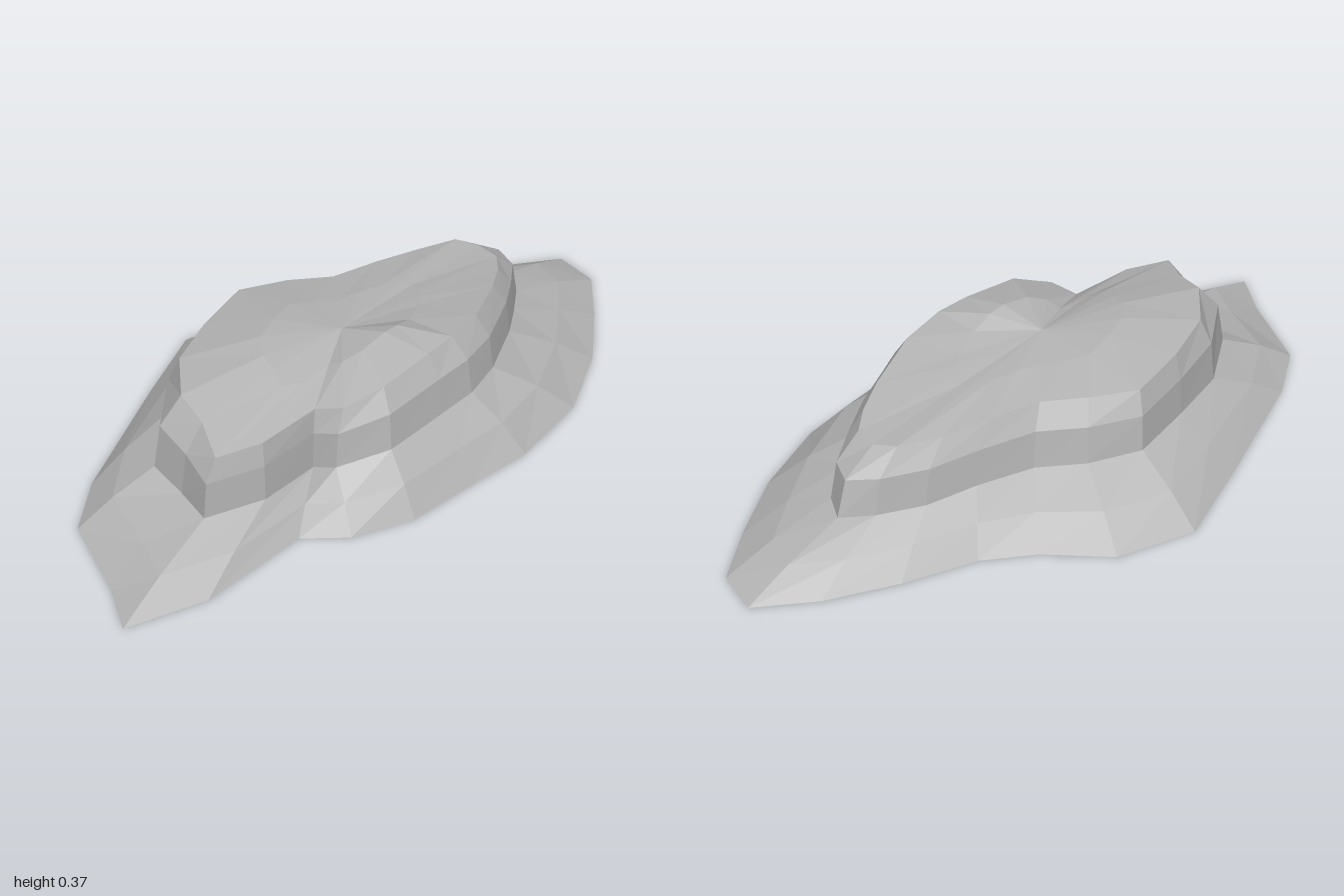
import * as THREE from 'three';

// Matching outlines, counterclockwise seen from above
// shoreline: x, z at ground level
const shore = [
  1, .05, .85, -.06, .66, -.15, .46, -.22, .33, -.31, .19, -.46, -.03, -.53, -.27, -.44,
  -.66, -.28, -.81, -.18, -.92, .05, -1, .17, -.79, .26, -.47, .28, -.38, .38, -.22, .46,
  0, .49, .18, .52, .43, .5, .65, .41, .83, .29, .97, .18,
];
// foot of the cliff: x, y, z
const foot = [
  .69, .11, .06, .62, .12, -.01, .5, .12, -.07, .36, .13, -.11, .2, .13, -.16, .09, .135, -.25,
  -.05, .14, -.315, -.24, .14, -.275, -.43, .13, -.22, -.6, .12, -.1, -.625, .11, .02,
  -.66, .11, .13, -.5, .105, .195, -.32, .1, .2, -.31, .13, .27, -.19, .16, .355,
  0, .17, .37, .12, .175, .378, .25, .17, .35, .44, .145, .265, .55, .125, .2, .65, .11, .135,
];
// shoulder of the cliff: x, y, z
const shoulder = [
  .56, .28, .06, .53, .29, 0, .42, .29, -.05, .29, .3, -.09, .15, .305, -.13, .05, .31, -.21,
  -.07, .31, -.28, -.25, .315, -.24, -.41, .32, -.18, -.52, .32, -.07, -.55, .3, .03,
  -.61, .275, .13, -.49, .275, .18, -.3, .275, .19, -.27, .295, .26, -.17, .33, .31,
  0, .343, .32, .1, .343, .32, .23, .33, .3, .4, .305, .23, .49, .29, .18, .55, .28, .13,
];
// heights of the two humps, halfway in from the shoulder
const humpHeights = [
  .31, .315, .32, .325, .325, .33, .338, .347, .35, .345, .335,
  .32, .31, .315, .335, .355, .368, .362, .34, .325, .32, .315,
];

const toPoints = (list) => {
  const points = [];
  for (let i = 0; i < list.length; i += 3) points.push(new THREE.Vector3(list[i], list[i + 1], list[i + 2]));
  return points;
};

// Ring between two others, with separate blends for plan and height
const between = (a, b, plan, height) => a.map((p, i) => new THREE.Vector3(
  THREE.MathUtils.lerp(p.x, b[i].x, plan),
  THREE.MathUtils.lerp(p.y, b[i].y, height),
  THREE.MathUtils.lerp(p.z, b[i].z, plan),
));

// Faceted skin over rings from low to high, optionally closed to a point
function skin(rings, tip) {
  const corners = [];
  rings.forEach((ring, r) => ring.forEach((p, i) => {
    const j = (i + 1) % ring.length;
    const next = rings[r + 1];
    if (next) corners.push(p, ring[j], next[j], p, next[j], next[i]);
    else if (tip) corners.push(p, ring[j], tip);
  }));
  const geometry = new THREE.BufferGeometry().setFromPoints(corners);
  geometry.computeVertexNormals();
  return geometry;
}

export function createModel() {
  const group = new THREE.Group();
  group.name = 'rockIsland';
  const stone = new THREE.MeshStandardMaterial({ color: 0xb5b5b5 });
  stone.name = 'grey stone';

  const shoreRing = [];
  for (let i = 0; i < shore.length; i += 2) shoreRing.push(new THREE.Vector3(shore[i], 0, shore[i + 1]));
  const footRing = toPoints(foot);
  const shoulderRing = toPoints(shoulder);
  const slopeRing = between(shoreRing, footRing, .45, .53);
  const brokenEdge = between(footRing, shoulderRing, .25, .62);

  const centre = new THREE.Vector3(-.05, .335, .07);
  const humpRing = shoulderRing.map((p, i) => {
    const q = p.clone().lerp(centre, .5);
    q.y = humpHeights[i];
    return q;
  });

  const add = (name, geometry) => {
    const mesh = new THREE.Mesh(geometry, stone);
    mesh.name = name;
    group.add(mesh);
  };

  add('lowerSlope', skin([shoreRing, slopeRing, footRing]));
  add('cliff', skin([footRing, brokenEdge, shoulderRing]));
  add('plateau', skin([shoulderRing, humpRing], null));
  // Shallow saddle joining the humps
  add('saddle', skin([humpRing], centre));
  add('underside', skin([[...shoreRing].reverse()], new THREE.Vector3(-.05, 0, .07)));
  return group;
}
